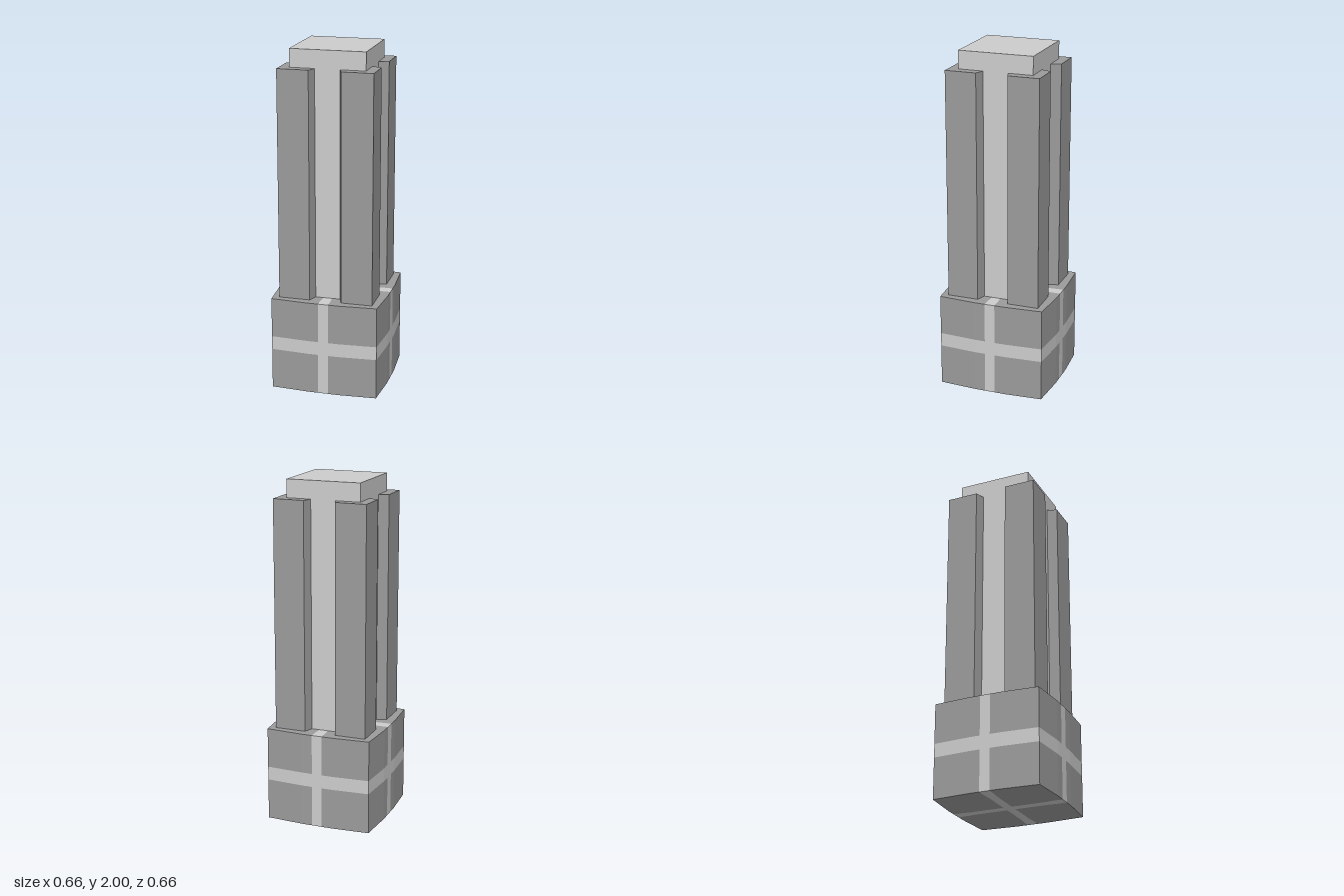
import * as THREE from 'three';
import { mergeGeometries } from 'three/addons/utils/BufferGeometryUtils.js';

const BASE_TOP = 0.555, PILLAR_TOP = 1.895, TOP = 2, CORE = 0.219;

export function createModel() {
  const group = new THREE.Group();
  group.name = 'tower';
  const light = new THREE.MeshStandardMaterial({ color: 0xcccccc, flatShading: true });
  const dark = new THREE.MeshStandardMaterial({ color: 0x9a9a9a, flatShading: true });

  const add = (name, geometry, material) => {
    const mesh = new THREE.Mesh(geometry, material);
    mesh.name = name;
    group.add(mesh);
  };
  const shape = (pts) => new THREE.Shape(pts.map(([x, y]) => new THREE.Vector2(x, y)));
  const mirrored = (pts) => [...pts, ...pts.map(([x, y]) => [y, x]).reverse()];
  // Four copies turned about the vertical axis, as one geometry
  const fourfold = (geometry) => mergeGeometries(
    [0, 1, 2, 3].map((i) => geometry.clone().rotateY(i * Math.PI / 2)));
  const cap = (pts, y, up) => fourfold(
    new THREE.ShapeGeometry(shape(pts)).rotateX(up ? -Math.PI / 2 : Math.PI / 2).translate(0, y, 0));

  // Square core rising through the pillars
  add('core', new THREE.BoxGeometry(2 * CORE, TOP - BASE_TOP, 2 * CORE)
    .translate(0, (TOP + BASE_TOP) / 2, 0), light);

  // Angle-shaped corner pillars with slanted ends
  const pillar = new THREE.ExtrudeGeometry(
    shape([...mirrored([[0.073, CORE], [0.093, 0.276], [0.276, 0.276]]), [CORE, CORE]]),
    { depth: PILLAR_TOP - BASE_TOP, bevelEnabled: false })
    .rotateX(-Math.PI / 2).translate(0, BASE_TOP, 0);
  add('cornerPillars', fourfold(pillar), dark);

  // Bowed base walls, split into dark panels and flush light bands
  const columns = [[-0.313, 0.313], [-0.093, 0.328], [-0.03, 0.328],
    [0.03, 0.328], [0.093, 0.328], [0.313, 0.313]];
  const rows = [0, 0.24, 0.32, BASE_TOP];
  const panels = [], bands = [];
  for (let c = 0; c < 5; c++) {
    for (let r = 0; r < 3; r++) {
      const [[x0, z0], [x1, z1]] = [columns[c], columns[c + 1]];
      const [y0, y1] = [rows[r], rows[r + 1]];
      const corners = [[x0, y0, z0], [x1, y0, z1], [x1, y1, z1], [x0, y1, z0]]
        .map((p) => new THREE.Vector3(...p));
      const quad = new THREE.BufferGeometry()
        .setFromPoints([0, 1, 2, 0, 2, 3].map((i) => corners[i]));
      quad.computeVertexNormals();
      (c === 2 || r === 1 ? bands : panels).push(quad);
    }
  }
  add('basePanels', fourfold(mergeGeometries(panels)), dark);
  add('baseBands', fourfold(mergeGeometries(bands)), light);

  // Base ledge and underside, each crossed by tapering light stripes
  const rim = [[0.025, CORE], [0.03, 0.275], [0.03, 0.328], [0.093, 0.328], [0.313, 0.313]];
  const stripe = [[0.025, CORE], [0.03, 0.275], [0.03, 0.328],
    [-0.03, 0.328], [-0.03, 0.275], [-0.025, CORE]];
  add('baseLedge', cap([...mirrored(rim), [CORE, CORE]], BASE_TOP, true), dark);
  add('ledgeStripes', cap(stripe, BASE_TOP, true), light);
  add('baseUnderside', cap([...mirrored(rim), [0.025, 0.025]], 0, false), dark);
  add('undersideStripes', cap([...stripe, [-0.025, 0.025], [0, 0], [0.025, 0.025]], 0, false), light);

  return group;
}
